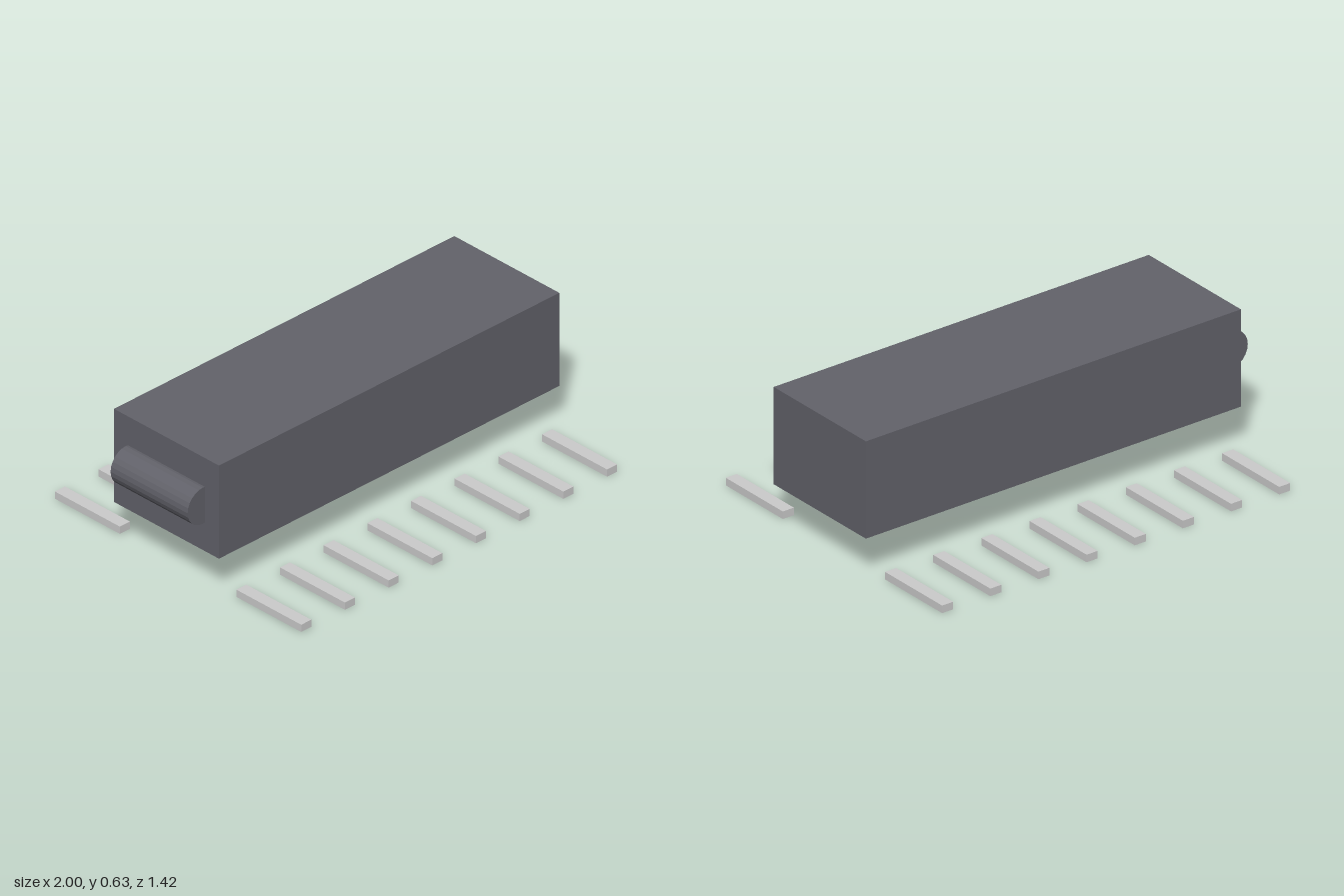
import * as THREE from 'three';

const bodyMat = new THREE.MeshStandardMaterial({ color: 0x62626a, flatShading: true });
const pinMat = new THREE.MeshStandardMaterial({ color: 0xcccccc });

function add(parent, name, geometry, material, x, y, z) {
  const mesh = new THREE.Mesh(geometry, material);
  mesh.name = name;
  mesh.position.set(x, y, z);
  parent.add(mesh);
  return mesh;
}

export function createModel() {
  const model = new THREE.Group();
  model.name = 'chipPackage';

  // Rectangular housing floating above the pin rows
  add(model, 'housing', new THREE.BoxGeometry(1.903, 0.439, 0.606), bodyMat, 0.0485, 0.4125, 0);

  // Round end marker, half sunk into the housing's end
  const marker = new THREE.CylinderGeometry(0.085, 0.085, 0.445, 24).rotateX(Math.PI / 2);
  add(model, 'endMarker', marker, bodyMat, -0.915, 0.4125, 0);

  // Two rows of eight flat pins
  const pinGeo = new THREE.BoxGeometry(0.056, 0.034, 0.375);
  for (const side of [1, -1]) {
    const row = new THREE.Group();
    row.name = side > 0 ? 'frontPins' : 'backPins';
    for (let i = 0; i < 8; i++) {
      add(row, 'pin', pinGeo, pinMat, -0.81 + i * 0.2443, 0.017, side * 0.5235);
    }
    model.add(row);
  }
  return model;
}
